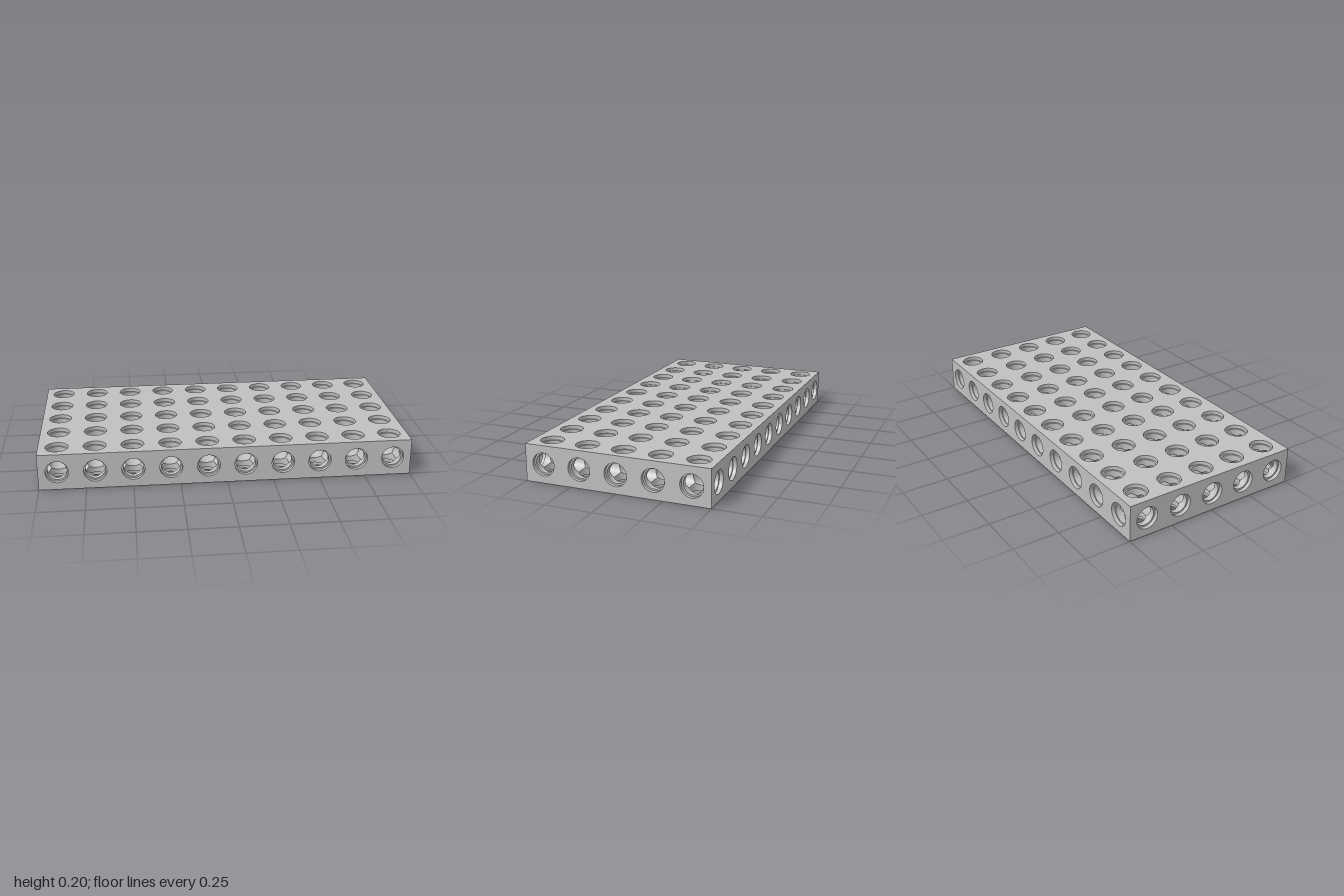
import * as THREE from 'three';
import { mergeGeometries } from 'three/addons/utils/BufferGeometryUtils.js';

const CELL = 0.2, HALF = CELL / 2;
const COUNT = { x: 10, y: 1, z: 5 };
const BORE = 0.052, RECESS = 0.061, RECESS_DEPTH = 0.02, SIDES = 32;

// Surface of revolution about y, from a short list of [radius, height]
function revolve(points) {
  return new THREE.LatheGeometry(points.map(p => new THREE.Vector2(p[0], p[1])), SIDES);
}

// Half bore from the cell centre outwards; its inner edge follows the seam
// where three perpendicular bores meet
function boreArm(top) {
  const geo = revolve([[BORE, top], [BORE, 0]]);
  const pos = geo.attributes.position;
  for (let i = 0; i < pos.count; i++) {
    if (pos.getY(i) === 0) pos.setY(i, Math.max(Math.abs(pos.getX(i)), Math.abs(pos.getZ(i))));
  }
  return geo;
}

// Flat outer face with a row or grid of round holes
function perforatedFace(cols, rows) {
  const w = cols * HALF, h = rows * HALF;
  const shape = new THREE.Shape();
  shape.moveTo(-w, -h).lineTo(w, -h).lineTo(w, h).lineTo(-w, h).closePath();
  for (let i = 0; i < cols; i++) {
    for (let j = 0; j < rows; j++) {
      const hole = new THREE.Path();
      hole.absarc((i + 0.5) * CELL - w, (j + 0.5) * CELL - h, RECESS, 0, Math.PI * 2, true);
      shape.holes.push(hole);
    }
  }
  return new THREE.ShapeGeometry(shape, SIDES / 2);
}

export function createModel() {
  const group = new THREE.Group();
  group.name = 'perforatedBlock';
  const grey = new THREE.MeshStandardMaterial({ color: 0xbfbfbf });
  grey.name = 'light grey';

  const add = (name, geometry) => {
    const mesh = new THREE.Mesh(geometry, grey);
    mesh.name = name;
    group.add(mesh);
  };

  // Outer faces
  const lx = COUNT.x * HALF, ly = COUNT.y * HALF, lz = COUNT.z * HALF, q = Math.PI / 2;
  add('frontFace', perforatedFace(COUNT.x, COUNT.y).translate(0, ly, lz));
  add('backFace', perforatedFace(COUNT.x, COUNT.y).rotateY(Math.PI).translate(0, ly, -lz));
  add('leftFace', perforatedFace(COUNT.z, COUNT.y).rotateY(q).translate(lx, ly, 0));
  add('rightFace', perforatedFace(COUNT.z, COUNT.y).rotateY(-q).translate(-lx, ly, 0));
  add('topFace', perforatedFace(COUNT.x, COUNT.z).rotateX(-q).translate(0, 2 * ly, 0));
  add('bottomFace', perforatedFace(COUNT.x, COUNT.z).rotateX(q));

  // Pieces of one hole, pointing up y
  const step = HALF - RECESS_DEPTH;
  const innerArm = boreArm(HALF);
  const outerArm = boreArm(step);
  const recessWall = revolve([[RECESS, HALF], [RECESS, step]]);
  const recessLedge = revolve([[RECESS, step], [BORE, step]]);

  // Six half bores per cell, recessed where they reach an outer face
  const bores = [], recesses = [];
  const up = new THREE.Vector3(0, 1, 0);
  for (let i = 0; i < COUNT.x; i++) {
    for (let j = 0; j < COUNT.y; j++) {
      for (let k = 0; k < COUNT.z; k++) {
        const cell = { x: i, y: j, z: k };
        for (const axis of ['x', 'y', 'z']) {
          for (const sign of [-1, 1]) {
            const dir = new THREE.Vector3();
            dir[axis] = sign;
            const matrix = new THREE.Matrix4()
              .makeRotationFromQuaternion(new THREE.Quaternion().setFromUnitVectors(up, dir))
              .setPosition((i + 0.5) * CELL - lx, (j + 0.5) * CELL, (k + 0.5) * CELL - lz);
            const atFace = cell[axis] === (sign > 0 ? COUNT[axis] - 1 : 0);
            bores.push((atFace ? outerArm : innerArm).clone().applyMatrix4(matrix));
            if (atFace) {
              recesses.push(recessWall.clone().applyMatrix4(matrix));
              recesses.push(recessLedge.clone().applyMatrix4(matrix));
            }
          }
        }
      }
    }
  }
  add('crossingBores', mergeGeometries(bores));
  add('holeRecesses', mergeGeometries(recesses));
  return group;
}
